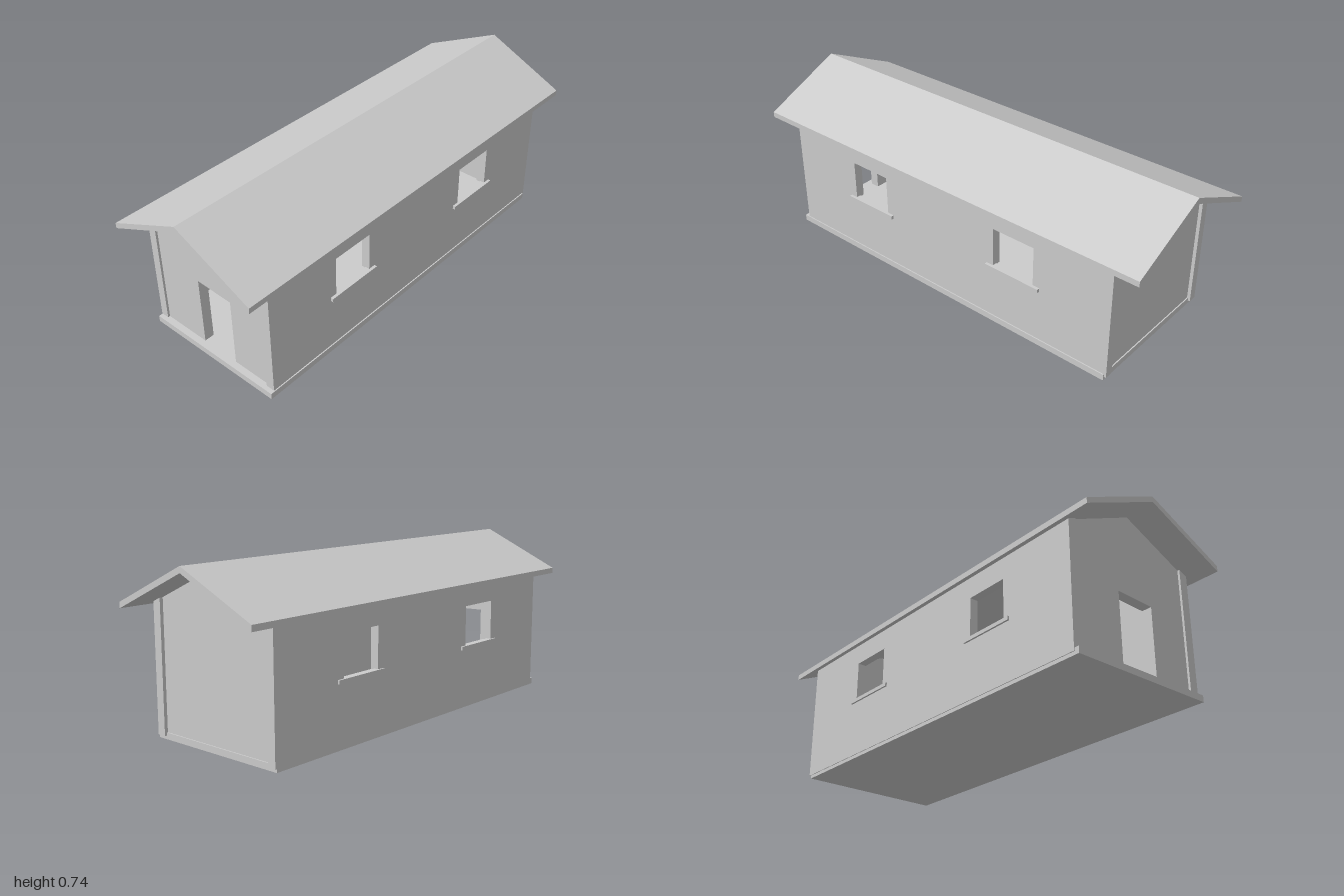
import * as THREE from 'three';

const material = new THREE.MeshStandardMaterial({ color: 0xcccccc });
const SLOPE = 0.454;
const underside = (x) => 0.707 - SLOPE * Math.abs(x);

function polygon(points, Type = THREE.Shape) {
  return new Type(points.map(([x, y]) => new THREE.Vector2(x, y)));
}

function rect(x0, x1, y0, y1) {
  return [[x0, y0], [x1, y0], [x1, y1], [x0, y1]];
}

function extrude(shape, depth) {
  return new THREE.ExtrudeGeometry(shape, { depth, bevelEnabled: false });
}

// Box given by its limits on each axis
function block(x0, x1, y0, y1, z0, z1) {
  return new THREE.BoxGeometry(x1 - x0, y1 - y0, z1 - z0)
    .translate((x0 + x1) / 2, (y0 + y1) / 2, (z0 + z1) / 2);
}

export function createModel() {
  const house = new THREE.Group();
  house.name = 'house';
  const add = (name, geometry) => {
    const mesh = new THREE.Mesh(geometry, material);
    mesh.name = name;
    house.add(mesh);
  };

  // Floor slab
  add('floorSlab', block(-0.335, 0.335, 0, 0.028, -0.86, 0.895));

  // Long side walls with two windows each and tops cut to the roof slope
  const windows = [[0.31, 0.51], [-0.5, -0.295]];
  const sides = [
    { name: 'left', outer: 0.33, inner: 0.29, sill: 0.343 },
    { name: 'right', outer: -0.338, inner: -0.3, sill: -0.346 },
  ];
  for (const { name, outer, inner, sill } of sides) {
    const shape = polygon(rect(-0.87, 0.875, 0.015, 0.6));
    for (const [z0, z1] of windows) {
      shape.holes.push(polygon(rect(z0, z1, 0.278, 0.46), THREE.Path));
    }
    const wall = extrude(shape, Math.abs(outer - inner))
      .rotateY(-Math.PI / 2).translate(Math.max(outer, inner), 0, 0);
    const p = wall.attributes.position;
    for (let i = 0; i < p.count; i++) {
      if (p.getY(i) > 0.55) p.setY(i, underside(p.getX(i)));
    }
    wall.computeVertexNormals();
    add(name + 'Wall', wall);

    // Window sills
    const x0 = (outer + inner) / 2;
    for (const [z0, z1] of windows) {
      add(name + 'WindowSill', block(Math.min(x0, sill), Math.max(x0, sill), 0.267, 0.283, z0 - 0.033, z1 + 0.033));
    }
  }

  // Gable walls between the side walls, the front one with a doorway
  const gable = [[0.29, underside(0.29)], [0, 0.707], [-0.3, underside(0.3)]];
  const front = polygon([
    [-0.3, 0.02], [-0.077, 0.02], [-0.077, 0.349], [0.105, 0.344], [0.105, 0.02], [0.29, 0.02], ...gable,
  ]);
  add('frontGableWall', extrude(front, 0.045).translate(0, 0, 0.82));
  const back = polygon([[-0.3, 0.02], [0.29, 0.02], ...gable]);
  add('backGableWall', extrude(back, 0.04).translate(0, 0, -0.855));

  // Pitched roof slab
  const roof = polygon([
    [-0.37, 0.541], [0, 0.709], [0.37, 0.541], [0.37, 0.566], [0, 0.735], [-0.37, 0.566],
  ]);
  add('roof', extrude(roof, 2).translate(0, 0, -1));

  return house;
}
